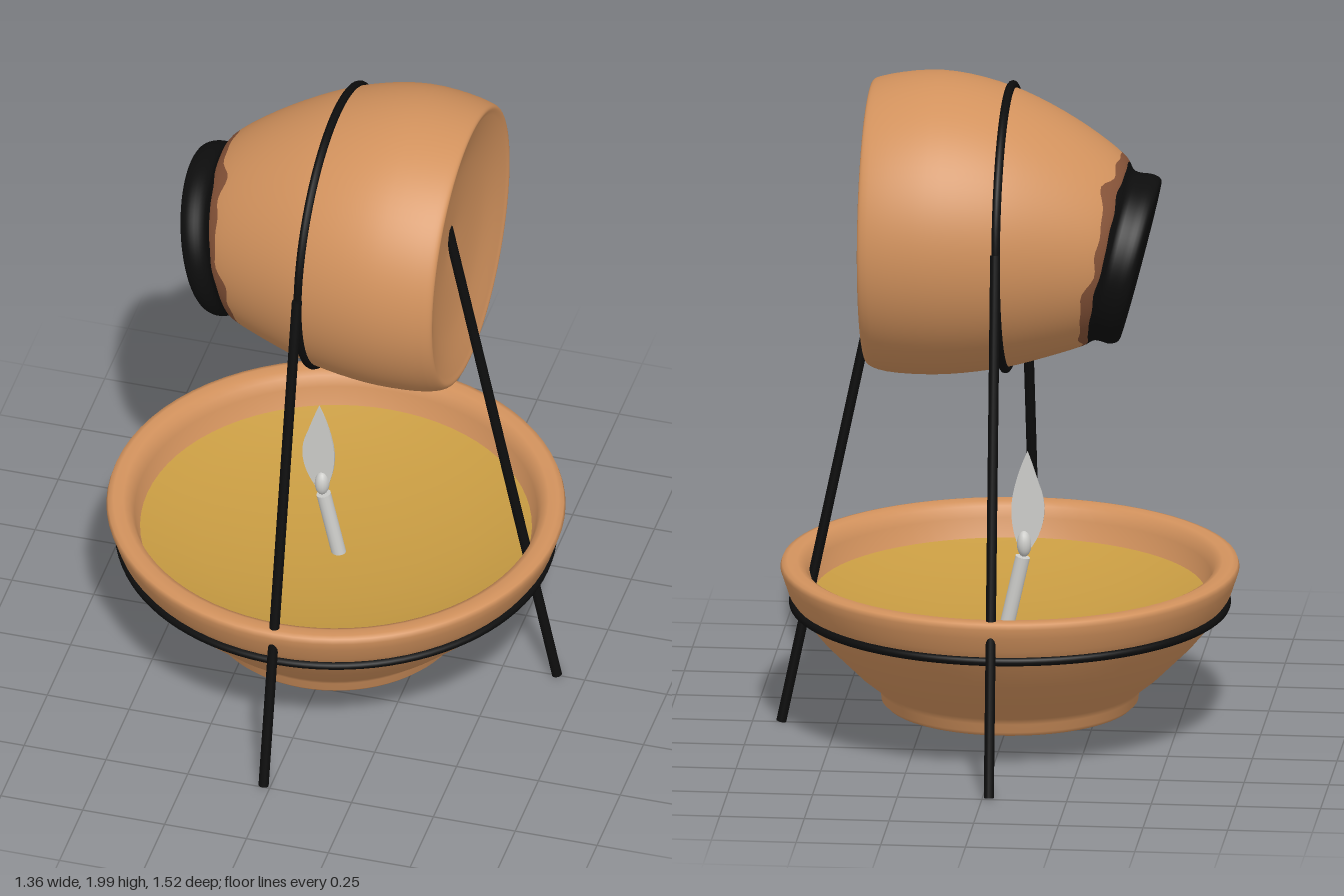
import * as THREE from 'three';

const mat = (name, color) => {
  const m = new THREE.MeshStandardMaterial({ color });
  m.name = name;
  return m;
};

export function createModel() {
  const clay = mat('clay', 0xd2925d);
  const scorch = mat('scorchedClay', 0x865338);
  const soot = mat('sootBlack', 0x0d0d0d);
  const wax = mat('wax', 0xc79b42);
  const pale = mat('paleGrey', 0xcdcdca);
  pale.side = THREE.DoubleSide;

  const group = new THREE.Group();
  const add = (name, geometry, material, x = 0, y = 0, z = 0) => {
    const mesh = new THREE.Mesh(geometry, material);
    mesh.name = name;
    mesh.position.set(x, y, z);
    group.add(mesh);
    return mesh;
  };
  const lathe = (profile, segments = 72) => {
    const pts = profile.map(([r, y]) => new THREE.Vector2(r, y));
    return new THREE.LatheGeometry(pts, segments);
  };
  // round bar between two points
  const bar = (name, a, b, radius, material) => {
    const from = new THREE.Vector3(...a), to = new THREE.Vector3(...b);
    const dir = to.clone().sub(from);
    const mid = from.clone().add(to).multiplyScalar(0.5);
    const mesh = add(name, new THREE.CylinderGeometry(radius, radius, dir.length(), 14), material, ...mid);
    mesh.quaternion.setFromUnitVectors(new THREE.Vector3(0, 1, 0), dir.normalize());
    return mesh;
  };

  // bowl with thick rim, and the dished wax inside it
  add('bowl', lathe([
    [0, 0.09], [0.34, 0.088], [0.365, 0.092], [0.378, 0.105], [0.38, 0.13], [0.395, 0.15],
    [0.45, 0.195], [0.5, 0.245], [0.55, 0.295], [0.595, 0.35], [0.63, 0.4], [0.65, 0.43],
    [0.665, 0.475], [0.675, 0.505], [0.67, 0.52], [0.655, 0.524], [0.625, 0.522],
    [0.605, 0.512], [0.592, 0.48], [0.572, 0.41], [0.55, 0.39],
  ]), clay, -0.01);
  add('waxSurface', lathe([
    [0.58, 0.425], [0.5, 0.397], [0.4, 0.37], [0.25, 0.342], [0.1, 0.331], [0, 0.33],
  ]), wax, -0.01);

  // candle, wick bulb and flat flame
  bar('candle', [0, 0.32, 0], [-0.048, 0.535, 0], 0.022, pale);
  const bulb = add('wickBulb', new THREE.SphereGeometry(1, 16, 12), pale, -0.052, 0.575, 0);
  bulb.scale.set(0.022, 0.04, 0.026);
  const flame = new THREE.Shape();
  flame.moveTo(-0.05, 0.535);
  flame.bezierCurveTo(-0.085, 0.57, -0.14, 0.66, -0.095, 0.76);
  flame.quadraticCurveTo(-0.08, 0.81, -0.062, 0.858);
  flame.quadraticCurveTo(-0.035, 0.8, -0.022, 0.74);
  flame.bezierCurveTo(0, 0.65, -0.03, 0.57, -0.05, 0.535);
  add('flame', new THREE.ExtrudeGeometry(flame, { depth: 0.008, bevelEnabled: false, curveSegments: 12 }),
    pale, 0, 0, -0.004);

  // tilted pot: each cross-section is a circle spanning an upper and a lower profile point
  const stations = [
    [-0.395, 1.452, -0.395, 1.452], [-0.44, 1.64, -0.348, 1.262], [-0.452, 1.69, -0.335, 1.215],
    [-0.43, 1.705, -0.31, 1.206], [-0.375, 1.715, -0.265, 1.215], [-0.35, 1.755, -0.235, 1.2],
    [-0.2, 1.865, -0.13, 1.165], [0, 1.96, 0, 1.13], [0.2, 2.0, 0.2, 1.105],
    [0.375, 1.978, 0.365, 1.115], [0.402, 1.965, 0.4, 1.135], [0.395, 1.94, 0.395, 1.16],
    [0.36, 1.8, 0.36, 1.3], [0.335, 1.55, 0.335, 1.55],
  ];
  const upper = new THREE.CatmullRomCurve3(stations.map((s) => new THREE.Vector3(s[0], s[1], 0)));
  const lower = new THREE.CatmullRomCurve3(stations.map((s) => new THREE.Vector3(s[2], s[3], 0)));
  const last = stations.length - 1, perStation = 5, rows = last * perStation, sides = 96;
  const positions = [], index = [];
  for (let i = 0; i <= rows; i++) {
    for (let j = 0; j < sides; j++) {
      const a = (j / sides) * Math.PI * 2;
      let t = i / perStation;
      // uneven edge of the soot and scorch bands
      const wobble = 0.09 * Math.sin(5 * a + t) + 0.06 * Math.sin(11 * a + 3 * t) + 0.04 * Math.sin(17 * a);
      t += wobble * Math.exp(-(((t - 5) / 0.55) ** 2));
      const u = Math.min(1, Math.max(0, t / last));
      const top = upper.getPoint(u), bottom = lower.getPoint(u);
      const mid = top.clone().add(bottom).multiplyScalar(0.5);
      const half = top.sub(mid);
      positions.push(mid.x + half.x * Math.cos(a), mid.y + half.y * Math.cos(a), half.length() * 1.015 * Math.sin(a));
    }
  }
  for (let i = 0; i < rows; i++) {
    for (let j = 0; j < sides; j++) {
      const k = (j + 1) % sides;
      const p = i * sides + j, q = i * sides + k, r = p + sides, s = q + sides;
      index.push(p, q, r, q, s, r);
    }
  }
  const pot = new THREE.BufferGeometry();
  pot.setAttribute('position', new THREE.Float32BufferAttribute(positions, 3));
  pot.setIndex(index);
  pot.computeVertexNormals();
  const bands = [0, 24, 26, rows]; // soot, scorch, clay
  for (let b = 0; b < 3; b++) {
    pot.addGroup(bands[b] * sides * 6, (bands[b + 1] - bands[b]) * sides * 6, b);
  }
  add('pot', pot, [soot, scorch, clay]);

  // wire stand: three legs, a hoop round the pot and a hoop round the bowl
  for (const side of [1, -1]) {
    bar('sideLeg', [-0.02, 0.012, side * 0.745], [-0.008, 1.58, side * 0.428], 0.015, soot);
  }
  bar('propLeg', [0.665, 0.012, 0], [0.332, 1.605, 0], 0.015, soot);
  const potHoop = add('potHoop', new THREE.TorusGeometry(0.418, 0.013, 10, 96), soot, -0.008, 1.544, 0);
  potHoop.rotation.y = Math.PI / 2;
  const bowlHoop = add('bowlHoop', new THREE.TorusGeometry(0.637, 0.013, 10, 96), soot, -0.01, 0.398, 0);
  bowlHoop.rotation.x = Math.PI / 2;

  return group;
}
